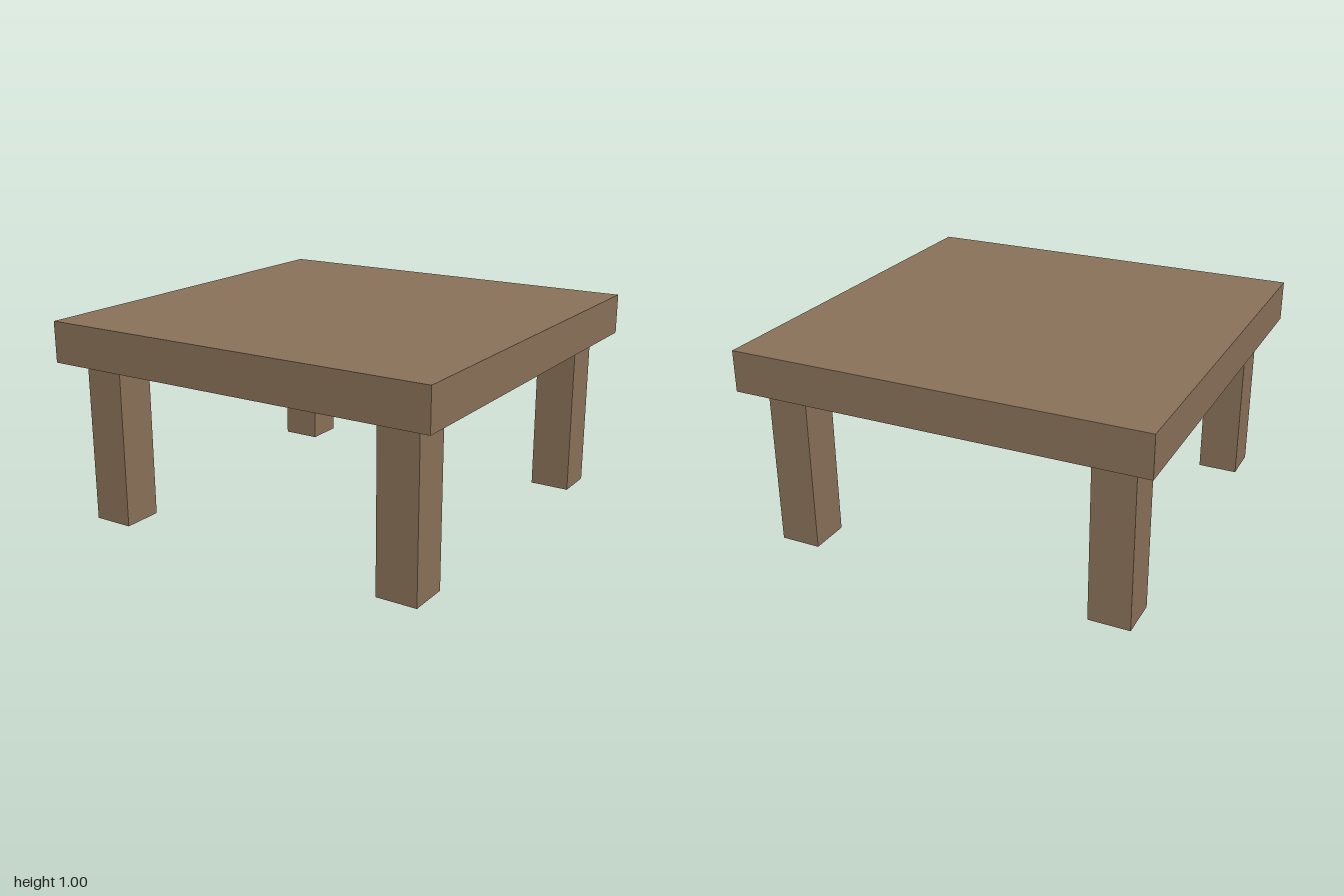
import * as THREE from 'three';

export function createModel() {
  const table = new THREE.Group();
  table.name = 'table';

  const wood = new THREE.MeshStandardMaterial({ color: 0x8c735a });
  wood.name = 'brown wood';

  function addBox(name, width, height, depth, x, y, z) {
    const mesh = new THREE.Mesh(new THREE.BoxGeometry(width, height, depth), wood);
    mesh.name = name;
    mesh.position.set(x, y, z);
    table.add(mesh);
  }

  // Thick square top
  addBox('tableTop', 2, 0.2, 2, 0, 0.9, 0);

  // Four square legs, set in from the corners
  for (const [end, z] of [['front', 0.8], ['back', -0.8]]) {
    for (const [side, x] of [['Left', 0.8], ['Right', -0.8]]) {
      addBox(`${end}${side}Leg`, 0.2, 0.8, 0.2, x, 0.4, z);
    }
  }

  return table;
}
